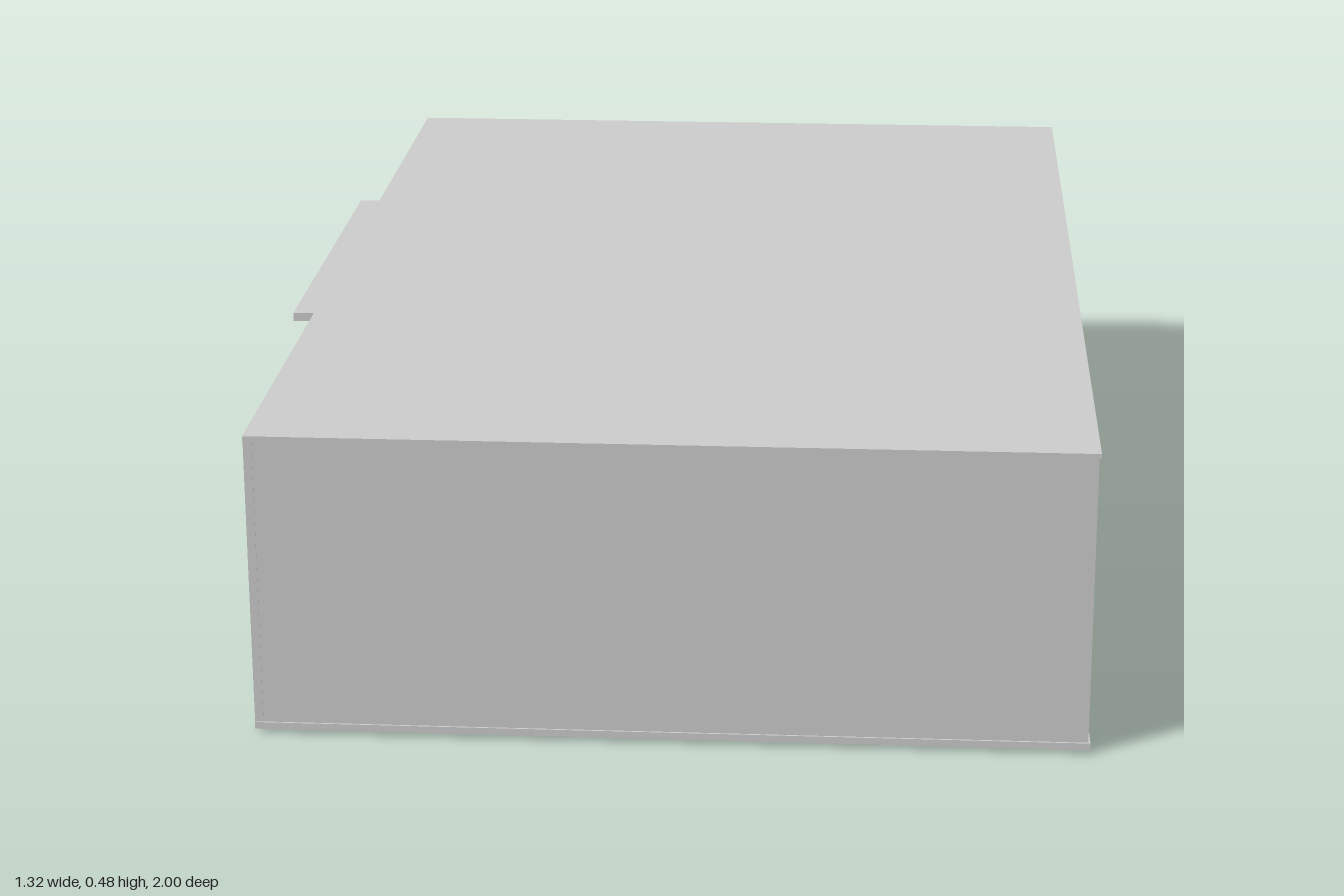
import * as THREE from 'three';

const grey = new THREE.MeshStandardMaterial({ color: 0xcccccc });

// Box given by its extents on each axis
function block(parent, name, [x0, x1], [y0, y1], [z0, z1]) {
  const mesh = new THREE.Mesh(new THREE.BoxGeometry(x1 - x0, y1 - y0, z1 - z0), grey);
  mesh.position.set((x0 + x1) / 2, (y0 + y1) / 2, (z0 + z1) / 2);
  mesh.name = name;
  parent.add(mesh);
  return mesh;
}

export function createModel() {
  const model = new THREE.Group();
  model.name = 'building';
  const base = 0.01, top = 0.483;
  const outer = -0.623, inner = -0.61, glass = -0.614;

  // Main volume with thin roof and floor slabs
  block(model, 'walls', [inner, 0.652], [base, top - 0.005], [-0.997, 0.997]);
  block(model, 'roof', [outer, 0.655], [top - 0.008, top], [-0.998, 1]);
  block(model, 'floor', [outer, 0.655], [base - 0.003, base + 0.008], [-0.998, 1]);

  // Framed facade on the -x side
  const facade = new THREE.Group();
  facade.name = 'facade';
  model.add(facade);
  block(facade, 'topRail', [outer, inner], [top - 0.022, top - 0.006], [-0.997, 0.997]);
  block(facade, 'bottomRail', [outer, inner], [base, base + 0.018], [-0.997, 0.997]);
  const posts = [-0.99, -0.81, -0.29, 0, 0.29, 0.81, 0.99];
  for (const z of posts) {
    const w = Math.abs(z) > 0.9 ? 0.008 : 0.014;
    block(facade, 'post', [outer, inner], [base, top - 0.006], [z - w, z + w]);
  }

  // Glazed bays, each with a slim inner frame
  for (let i = 0; i < posts.length - 1; i++) {
    const a = posts[i] + 0.02, b = posts[i + 1] - 0.02;
    block(facade, 'bayPanel', [glass, inner], [0.036, 0.453], [a + 0.006, b - 0.006]);
    for (const z of [a, b])
      block(facade, 'bayStile', [-0.619, inner], [0.028, 0.461], [z - 0.006, z + 0.006]);
    for (const y of [0.032, 0.457])
      block(facade, 'bayRail', [-0.619, inner], [y - 0.004, y + 0.004], [a, b]);
  }

  // Pull handles beside the entrance posts
  for (const z of [-0.27, -0.02, 0.02, 0.27])
    block(facade, 'handle', [-0.625, -0.62], [0.17, 0.32], [z - 0.003, z + 0.003]);

  // Entrance canopy
  block(model, 'canopy', [-0.66, outer], [0.465, 0.479], [-0.36, 0.36]);

  // Pair of thin windows on the -z wall
  for (const x of [-0.4, -0.06])
    block(model, 'window', [x - 0.165, x + 0.165], [0.05, 0.41], [-1, -0.996]);

  // Half-round strip and hooked strip under the floor at the +x edge
  const arc = new THREE.Shape();
  arc.absarc(0, 0, 0.265, Math.PI / 2, Math.PI * 1.5, false);
  arc.absarc(0, 0, 0.255, Math.PI * 1.5, Math.PI / 2, true);
  const strip = new THREE.Mesh(
    new THREE.ExtrudeGeometry(arc, { depth: 0.006, bevelEnabled: false, curveSegments: 40 }), grey);
  strip.name = 'curvedStrip';
  strip.rotation.x = -Math.PI / 2;
  strip.position.set(0.654, 0.003, -0.5);
  model.add(strip);
  block(model, 'hookStrip', [0.53, 0.654], [0, 0.008], [-0.036, -0.028]);
  block(model, 'hookEnd', [0.522, 0.53], [0, 0.008], [-0.036, 0.012]);

  // Small clips low on the +x wall
  for (const z of [-0.26, -0.72])
    block(model, 'clip', [0.65, 0.657], [0.082, 0.09], [z - 0.04, z + 0.04]);

  return model;
}
